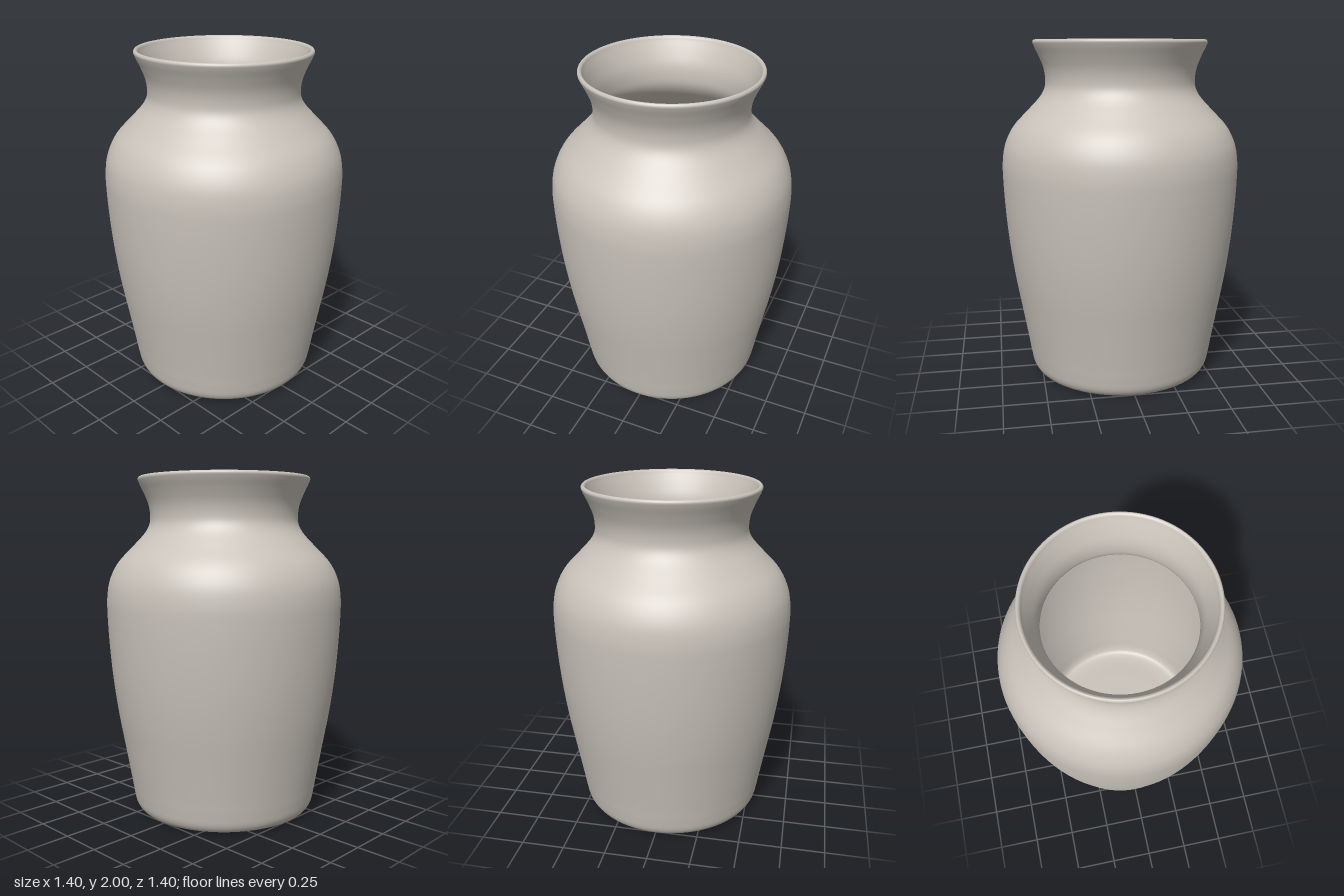
import * as THREE from 'three';

// Smooth profile through [radius, height] points
function smoothProfile(points, divisions) {
  const curve = new THREE.CatmullRomCurve3(points.map(([r, y]) => new THREE.Vector3(r, y, 0)));
  return curve.getPoints(divisions).map((p) => new THREE.Vector2(Math.max(p.x, 0), p.y));
}

export function createModel() {
  const group = new THREE.Group();
  group.name = 'vase';
  const ceramic = new THREE.MeshStandardMaterial({ color: 0xc9c3ba });
  ceramic.name = 'warm grey ceramic';

  // One continuous wall: shallow foot recess, outside, rolled lip, inside, floor
  const profile = smoothProfile([
    [0, 0.02], [0.2, 0.02], [0.34, 0.018], [0.39, 0.008], [0.43, 0.001], [0.48, 0.002],
    [0.52, 0.012], [0.545, 0.045], [0.56, 0.11], [0.575, 0.2], [0.61, 0.4],
    [0.645, 0.6], [0.672, 0.8], [0.69, 1.0], [0.7, 1.2], [0.699, 1.3],
    [0.682, 1.4], [0.633, 1.5], [0.54, 1.6], [0.468, 1.68], [0.443, 1.73],
    [0.439, 1.78], [0.448, 1.84], [0.475, 1.91], [0.502, 1.967], [0.508, 1.988],
    [0.499, 2.0], [0.487, 1.995], [0.477, 1.975], [0.45, 1.918], [0.422, 1.845],
    [0.413, 1.78], [0.418, 1.72], [0.447, 1.663], [0.52, 1.583], [0.613, 1.483],
    [0.656, 1.39], [0.673, 1.3], [0.674, 1.2], [0.664, 1.0], [0.646, 0.8],
    [0.619, 0.6], [0.584, 0.4], [0.549, 0.2], [0.53, 0.1], [0.51, 0.062],
    [0.47, 0.05], [0.3, 0.05], [0, 0.05],
  ], 240);

  const body = new THREE.Mesh(new THREE.LatheGeometry(profile, 96), ceramic);
  body.name = 'vaseBody';
  group.add(body);
  return group;
}
